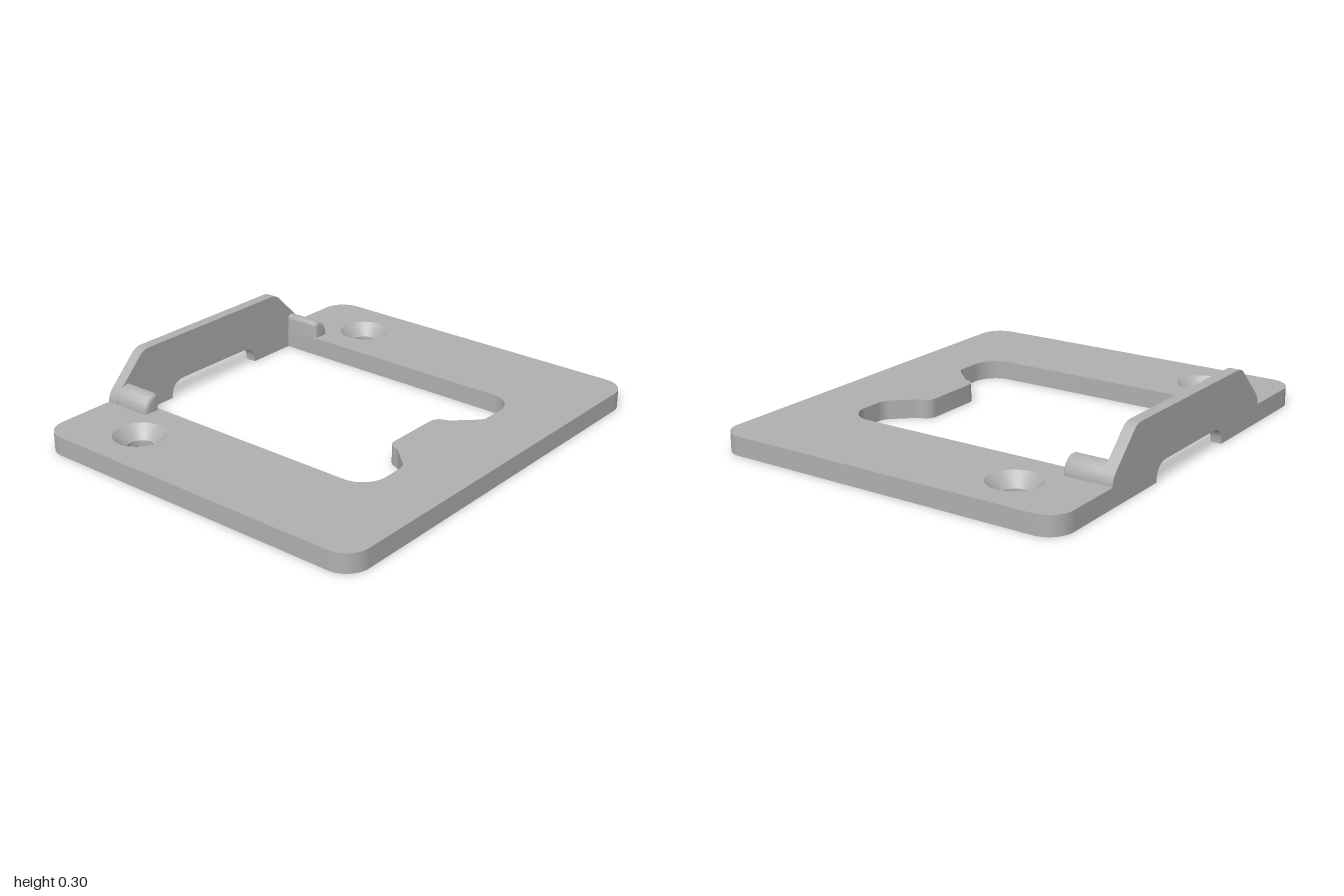
import * as THREE from 'three';
import { toCreasedNormals } from 'three/addons/utils/BufferGeometryUtils.js';

const T = 0.087;            // plate thickness
const W = 0.85;             // half width in x
const HOLE = { x: -0.5, z: 0.765, outer: 0.118, bore: 0.06 };

const smooth = (geometry) => toCreasedNormals(geometry, 0.6);

// Extrude a (z, y) outline along +x, starting at x0
function extrudeAlongX(shape, x0, depth, options = {}) {
  const g = new THREE.ExtrudeGeometry(shape, { depth, bevelEnabled: false, curveSegments: 12, ...options });
  g.rotateY(Math.PI / 2);
  g.translate(x0, 0, 0);
  return smooth(g);
}

// C-shaped plate with a wide opening and a tongue on its right edge
function plateGeometry() {
  const r = 0.11, q = Math.PI / 2;
  const s = new THREE.Shape();
  s.moveTo(-W, 0.53);
  s.lineTo(-W, 1 - r);
  s.absarc(-W + r, 1 - r, r, 2 * q, q, true);
  s.absarc(W - r, 1 - r, r, q, 0, true);
  s.absarc(W - r, -1 + r, r, 0, -q, true);
  s.absarc(-W + r, -1 + r, r, -q, -2 * q, true);
  s.lineTo(-W, -0.53);
  // lower half of the opening
  s.lineTo(0.43, -0.53);
  s.absarc(0.43, -0.41, 0.12, -q, 0, false);
  s.lineTo(0.55, -0.32);
  s.quadraticCurveTo(0.55, -0.29, 0.53, -0.27);
  s.lineTo(0.45, -0.195);
  s.quadraticCurveTo(0.44, -0.183, 0.42, -0.178);
  s.quadraticCurveTo(0.377, -0.165, 0.377, -0.125);
  // upper half, mirrored
  s.lineTo(0.377, 0.125);
  s.quadraticCurveTo(0.377, 0.165, 0.42, 0.178);
  s.quadraticCurveTo(0.44, 0.183, 0.45, 0.195);
  s.lineTo(0.53, 0.27);
  s.quadraticCurveTo(0.55, 0.29, 0.55, 0.32);
  s.lineTo(0.55, 0.41);
  s.absarc(0.43, 0.41, 0.12, 0, q, false);
  s.lineTo(-W, 0.53);
  for (const side of [-1, 1]) {
    const h = new THREE.Path();
    h.absarc(HOLE.x, side * HOLE.z, HOLE.outer, 0, Math.PI * 2, false);
    s.holes.push(h);
  }
  const g = new THREE.ExtrudeGeometry(s, { depth: T, bevelEnabled: false, curveSegments: 32 });
  g.rotateX(-Math.PI / 2);
  return smooth(g);
}

// Upright wall with sloped shoulders and a notch at its foot
function wallGeometry() {
  const s = new THREE.Shape();
  s.moveTo(-0.53, 0);
  s.lineTo(-0.28, 0);
  s.quadraticCurveTo(-0.28, 0.08, -0.2, 0.08);
  s.lineTo(0.2, 0.08);
  s.quadraticCurveTo(0.28, 0.08, 0.28, 0);
  s.lineTo(0.53, 0);
  s.lineTo(0.53, T);
  s.lineTo(0.62, T);
  s.quadraticCurveTo(0.62, 0.12, 0.595, 0.145);
  s.lineTo(0.47, 0.27);
  s.quadraticCurveTo(0.445, 0.296, 0.41, 0.296);
  s.lineTo(-0.41, 0.296);
  s.quadraticCurveTo(-0.445, 0.296, -0.47, 0.27);
  s.lineTo(-0.595, 0.145);
  s.quadraticCurveTo(-0.62, 0.12, -0.62, T);
  s.lineTo(-0.53, T);
  s.closePath();
  return extrudeAlongX(s, -W, 0.052);
}

// Rounded rib running from the wall along the opening's edge
function ribGeometry(side) {
  const s = new THREE.Shape();
  s.moveTo(side * 0.532, 0.05);
  s.lineTo(side * 0.532, 0.145);
  s.quadraticCurveTo(side * 0.532, 0.166, side * 0.552, 0.166);
  s.quadraticCurveTo(side * 0.575, 0.166, side * 0.595, 0.145);
  s.quadraticCurveTo(side * 0.618, 0.12, side * 0.618, T);
  s.lineTo(side * 0.618, 0.05);
  s.closePath();
  return extrudeAlongX(s, -0.82, 0.18, {
    bevelEnabled: true, bevelThickness: 0.02, bevelSize: 0.018, bevelOffset: -0.018, bevelSegments: 4,
  });
}

// Countersunk screw seat filling the plate's round hole
function screwSeatGeometry() {
  const profile = [[HOLE.outer, 0], [HOLE.bore, 0], [HOLE.bore, 0.03], [HOLE.outer, T]];
  const points = profile.map(([r, y]) => new THREE.Vector2(r, y)).reverse();
  return smooth(new THREE.LatheGeometry(points, 32));
}

export function createModel() {
  const grey = new THREE.MeshStandardMaterial({ color: 0xb0b0b0, side: THREE.DoubleSide });
  grey.name = 'light grey';
  const model = new THREE.Group();
  model.name = 'mountingPlate';
  const add = (name, geometry) => {
    const mesh = new THREE.Mesh(geometry, grey);
    mesh.name = name;
    model.add(mesh);
    return mesh;
  };

  add('plate', plateGeometry());
  add('wall', wallGeometry());
  for (const [side, label] of [[1, 'Back'], [-1, 'Front']]) {
    add('rib' + label, ribGeometry(side));
    add('screwSeat' + label, screwSeatGeometry()).position.set(HOLE.x, 0, -side * HOLE.z);
  }
  return model;
}
